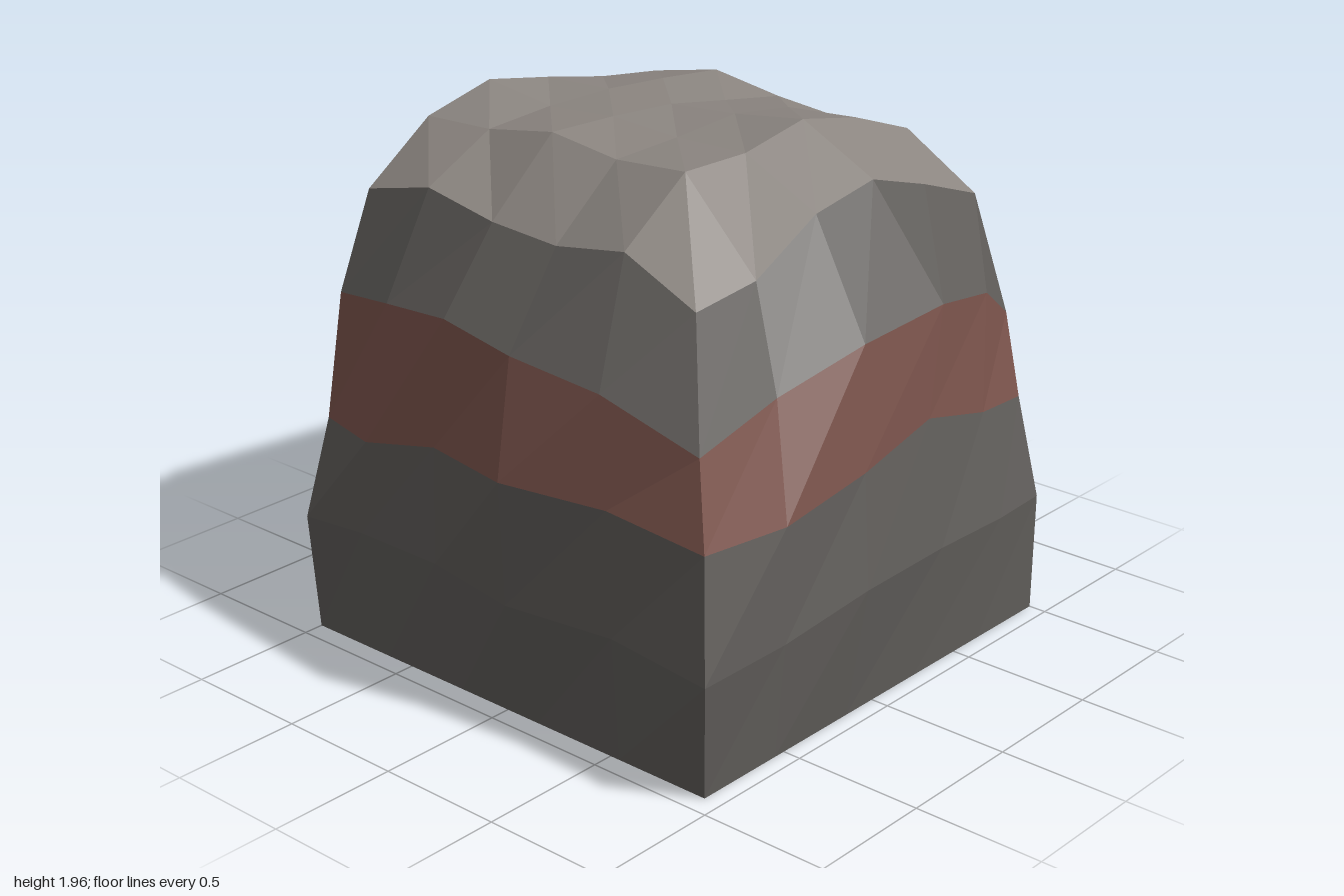
import * as THREE from 'three';

const material = (name, color) =>
  new THREE.MeshStandardMaterial({ name, color, flatShading: true, side: THREE.DoubleSide });

// Flat-shaded surface stretched between neighbouring rows of [x, y, z] points
function loft(rows) {
  const pos = [];
  for (let r = 0; r < rows.length - 1; r++) {
    for (let i = 0; i < rows[r].length - 1; i++) {
      const a = rows[r][i], b = rows[r][i + 1], c = rows[r + 1][i + 1], d = rows[r + 1][i];
      pos.push(...a, ...b, ...c, ...a, ...c, ...d);
    }
  }
  const g = new THREE.BufferGeometry();
  g.setAttribute('position', new THREE.Float32BufferAttribute(pos, 3));
  g.computeVertexNormals();
  return g;
}

// Flat wall piece between a lower and an upper line of [u, y] points
function band(lower, upper) {
  const outline = [...lower, ...[...upper].reverse()].map(([u, y]) => new THREE.Vector2(u, y));
  return new THREE.ShapeGeometry(new THREE.Shape(outline));
}

export function createModel() {
  const group = new THREE.Group();
  const darkRock = material('dark rock', 0x605d5a);
  const redRock = material('red rock', 0x7d554d);
  const paleRock = material('pale rock', 0x8b8580);
  const add = (name, geometry, mat, parent = group) => {
    const mesh = new THREE.Mesh(geometry, mat);
    mesh.name = name;
    parent.add(mesh);
    return mesh;
  };

  // Top plateau heights, one row per z, from the front edge to the back
  const xs = [-0.58, -0.27, 0.05, 0.37, 0.68, 1];
  const zs = [0.59, 0.27, -0.05, -0.36, -0.68, -1];
  const heights = [
    [1.56, 1.59, 1.75, 1.80, 1.71, 1.60],
    [1.70, 1.91, 1.905, 1.96, 1.90, 1.79],
    [1.65, 1.89, 1.90, 1.92, 1.88, 1.77],
    [1.67, 1.93, 1.92, 1.90, 1.85, 1.80],
    [1.73, 1.88, 1.90, 1.90, 1.88, 1.85],
    [1.66, 1.87, 1.945, 1.89, 1.83, 1.79],
  ];
  const top = heights.map((row, j) => row.map((y, i) => [xs[i], y, zs[j]]));
  add('plateau', loft(top), paleRock);

  // Slope rows run from the back, round the outer corner, to the far end of the front
  const foot = [
    ...[-1, -0.62, -0.23, 0.15, 0.54].map((z) => [-0.92, 0, z]),
    ...[-0.92, -0.55, -0.15, 0.25, 0.65, 1].map((x) => [x, 0, 0.93]),
  ];
  const belly = [
    [-0.96, 0.47, -1], [-0.94, 0.48, -0.72], [-0.97, 0.50, -0.3], [-1, 0.47, 0.08], [-0.955, 0.48, 0.54],
    [-0.985, 0.46, 0.985],
    [-0.54, 0.44, 0.96], [-0.12, 0.50, 0.99], [0.35, 0.49, 0.965], [0.74, 0.47, 0.95], [1, 0.47, 0.935],
  ];
  const stripeLow = [
    [-0.83, 0.83, -1], [-0.90, 0.83, -0.72], [-0.90, 0.91, -0.36], [-1, 0.93, 0.06], [-0.91, 0.92, 0.48],
    [-0.88, 0.87, 0.89],
    [-0.49, 0.85, 0.92], [-0.05, 0.90, 0.91], [0.36, 0.97, 0.88], [0.74, 0.87, 0.85], [1, 0.85, 0.83],
  ];
  const stripeHigh = [
    [-0.74, 1.30, -1], [-0.77, 1.33, -0.72], [-0.82, 1.37, -0.37], [-0.87, 1.34, 0], [-0.85, 1.30, 0.4],
    [-0.79, 1.16, 0.79],
    [-0.37, 1.24, 0.77], [0.02, 1.34, 0.84], [0.46, 1.37, 0.85], [0.80, 1.31, 0.80], [1, 1.17, 0.755],
  ];
  const rim = [...top.map((row) => row[0]).reverse(), ...top[0].slice(1)];
  add('lowerSlope', loft([foot, belly, stripeLow]), darkRock);
  add('slopeStripe', loft([stripeLow, stripeHigh]), redRock);
  add('upperSlope', loft([stripeHigh, rim]), darkRock);

  // Side wall at x = 1, drawn with u = -z
  const sideLow = [[-0.83, 0.85], [-0.42, 0.96], [-0.48, 0.53], [0, 0.53], [0.22, 0.505], [0.65, 0.505], [1, 0.54]];
  const sideHigh = [[-0.755, 1.17], [-0.4, 1.28], [0, 1.41], [0.35, 1.39], [0.66, 1.43], [1, 1.31]];
  const sideTop = top.map((row) => [-row[5][2], row[5][1]]);
  const side = new THREE.Group();
  side.name = 'sideWall';
  add('sideWallBase', band([[-0.93, 0], [1, 0]], [[-0.935, 0.47], ...sideLow]), darkRock, side);
  add('sideWallStripe', band(sideLow, sideHigh), redRock, side);
  add('sideWallTop', band(sideHigh, sideTop), darkRock, side);
  side.rotation.y = Math.PI / 2;
  side.position.x = 1;

  // Back wall at z = -1, drawn with u = -x
  const backLow = [[-1, 0.54], [-0.63, 0.58], [-0.3, 0.58], [-0.07, 0.58], [0.46, 0.51], [0.4, 0.95], [0.83, 0.83]];
  const backHigh = [[-1, 1.31], [-0.63, 1.43], [-0.29, 1.47], [0.02, 1.46], [0.35, 1.34], [0.74, 1.30]];
  const backTop = top[5].map(([x, y]) => [-x, y]).reverse();
  const back = new THREE.Group();
  back.name = 'backWall';
  add('backWallBase', band([[-1, 0], [0.92, 0]], [...backLow, [0.96, 0.47]]), darkRock, back);
  add('backWallStripe', band(backLow, backHigh), redRock, back);
  add('backWallTop', band(backHigh, backTop), darkRock, back);
  back.rotation.y = Math.PI;
  back.position.z = -1;

  group.add(side, back);
  return group;
}
